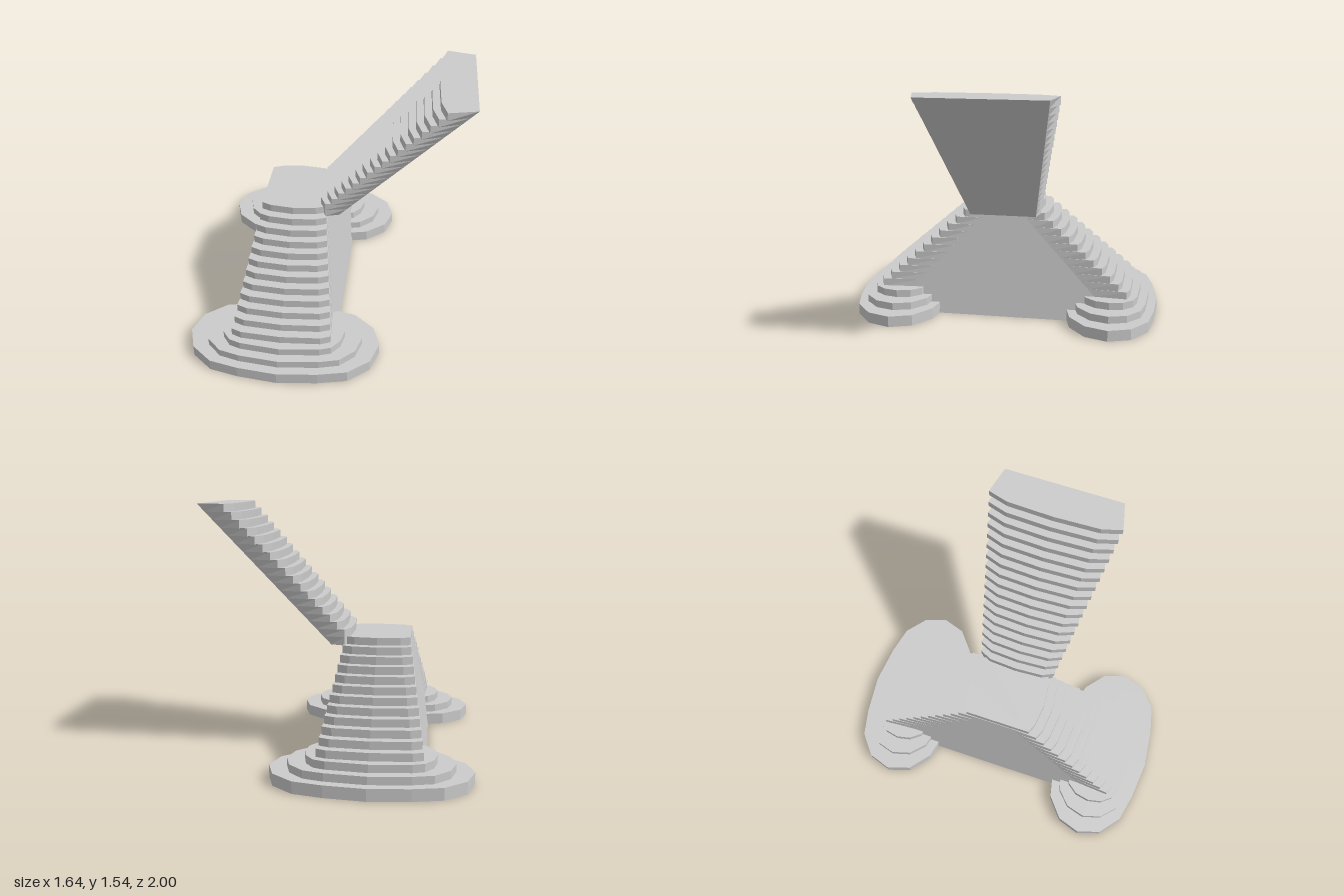
import * as THREE from 'three';

const material = new THREE.MeshStandardMaterial({ color: 0xcccccc, flatShading: true, side: THREE.DoubleSide });
const CX = -0.24;          // centre line of the lower flights
const RISE = 0.0474;
const LANDING = 0.735;
const SOFFIT = LANDING - RISE;
const lerp = THREE.MathUtils.lerp;

// Loft between two convex [x, z] outlines, with optional end caps
function prism(lower, y0, upper, y1, capBottom = true, capTop = true) {
  const area = upper.reduce((s, [x, z], i) => {
    const [nx, nz] = upper[(i + 1) % upper.length];
    return s + z * nx - x * nz;
  }, 0);
  if (area < 0) {
    lower = [...lower].reverse();
    upper = [...upper].reverse();
  }
  const n = upper.length;
  const pos = [];
  const lo = i => [lower[i % n][0], y0, lower[i % n][1]];
  const hi = i => [upper[i % n][0], y1, upper[i % n][1]];
  for (let i = 0; i < n; i++) {
    pos.push(...lo(i), ...lo(i + 1), ...hi(i + 1), ...lo(i), ...hi(i + 1), ...hi(i));
  }
  for (let i = 1; i < n - 1; i++) {
    if (capTop) pos.push(...hi(0), ...hi(i), ...hi(i + 1));
    if (capBottom) pos.push(...lo(0), ...lo(i + 1), ...lo(i));
  }
  return toGeometry(pos);
}

function toGeometry(pos) {
  const g = new THREE.BufferGeometry();
  g.setAttribute('position', new THREE.Float32BufferAttribute(pos, 3));
  g.computeVertexNormals();
  return g;
}

function add(parent, name, geometry) {
  const mesh = new THREE.Mesh(geometry, material);
  mesh.name = name;
  parent.add(mesh);
}

// Half width of the base and run of the underside at height y
const baseHalf = y => lerp(0.312, 0.203, y / SOFFIT);
const baseEnd = y => lerp(0.75, 0.1, y / SOFFIT);

// Bowed front edge of a lower step
function nose(z, half, s) {
  const inner = half - 0.06;
  return [[-half, z - 0.04], [-inner, z - 0.016], [0, z], [inner, z - 0.016], [half, z - 0.04]]
    .map(([x, d]) => [CX + x, s * d]);
}

// Outline of a wide bottom step with rounded ends
function oval(half, depth, s) {
  const pts = [];
  const r = half - 0.24;
  for (const q of [0, 1]) {
    for (let k = 0; k <= 6; k++) {
      const a = -Math.PI / 2 + k * Math.PI / 6 + q * Math.PI;
      pts.push([CX + (q ? -0.24 : 0.24) + r * Math.cos(a), s * (0.69 + depth * Math.sin(a))]);
    }
    pts.push([CX, s * (0.69 + (q ? -1 : 1) * (depth + 0.025))]);
  }
  return pts;
}

function lowerFlight(s) {
  const flight = new THREE.Group();
  flight.name = s > 0 ? 'frontFlight' : 'backFlight';
  // Straight steps, cut off below by the sloping underside
  for (let i = 1; i <= 11; i++) {
    const y1 = LANDING - RISE * i;
    const y0 = y1 - RISE;
    const edge = nose(0.245 + 0.0538 * i, lerp(0.2, 0.3, i / 11), s);
    const back = y => [[CX + baseHalf(y), s * baseEnd(y)], [CX - baseHalf(y), s * baseEnd(y)]];
    add(flight, 'step', prism([...edge, ...back(y0)], y0, [...edge, ...back(y1)], y1));
  }
  // Hollow oval steps at the foot
  const rings = [[0.585, 0.285], [0.48, 0.23], [0.375, 0.175]].map(([h, d]) => oval(h, d, s));
  rings.forEach((ring, k) => {
    const y1 = LANDING - RISE * (14 - k);
    const y0 = k ? y1 - RISE : 0;
    add(flight, 'ovalStep', prism(ring, y0, ring, y1, false, k === 2));
    if (k === 2) return;
    const next = rings[k + 1];
    const pos = [];
    ring.forEach((a, i) => {
      const j = (i + 1) % ring.length;
      const quad = [a, ring[j], next[j], next[i]].map(([x, z]) => [x, y1, z]);
      const order = s > 0 ? [0, 2, 1, 0, 3, 2] : [0, 1, 2, 0, 2, 3];
      order.forEach(v => pos.push(...quad[v]));
    });
    add(flight, 'ovalTread', toGeometry(pos));
  });
  // Foot of the sloping underside
  const top = LANDING - RISE * 12;
  const strip = y => [[-1, 0], [1, 0], [1, 0.012], [-1, 0.012]]
    .map(([x, d]) => [CX + x * baseHalf(y), s * (baseEnd(y) + d)]);
  add(flight, 'underside', prism(strip(0), 0, strip(top), top));
  return flight;
}

function upperFlight() {
  const flight = new THREE.Group();
  flight.name = 'upperFlight';
  const bottom = LANDING - 0.053;
  const topY = LANDING + RISE * 17;
  for (let i = 0; i <= 17; i++) {
    const y1 = LANDING + RISE * i;
    const y0 = i ? y1 - RISE : bottom;
    const x = -0.085 + 0.0431 * (Math.max(i, 1) - 1);
    const h = lerp(0.235, 0.405, i / 17);
    const edge = [[x + 0.045, -h], [x + 0.01, -0.7 * h], [x, 0], [x + 0.01, 0.7 * h], [x + 0.045, h]];
    const back = y => {
      const t = (y - bottom) / (topY - bottom);
      const bx = lerp(0.045, 0.82, t);
      const bh = lerp(0.21, 0.365, t);
      return [[bx, bh], [bx, -bh]];
    };
    add(flight, 'step', prism([...edge, ...back(y0)], y0, [...edge, ...back(y1)], y1));
  }
  return flight;
}

export function createModel() {
  const model = new THREE.Group();
  model.name = 'staircase';

  // Landing with bowed edges on both sides
  const deck = [...nose(0.245, 0.2, 1), ...nose(0.245, 0.2, -1).reverse()];
  add(model, 'landing', prism(deck, SOFFIT, deck, LANDING));

  // Leaning side walls between the lower flights
  for (const s of [1, -1]) {
    const plan = y => [[0, 1], [0, -1], [-0.012, -1], [-0.012, 1]]
      .map(([d, e]) => [CX + s * (baseHalf(y) + d), e * baseEnd(y)]);
    add(model, s > 0 ? 'leftWall' : 'rightWall', prism(plan(0), 0, plan(SOFFIT), SOFFIT));
    model.add(lowerFlight(s));
  }

  model.add(upperFlight());
  return model;
}
